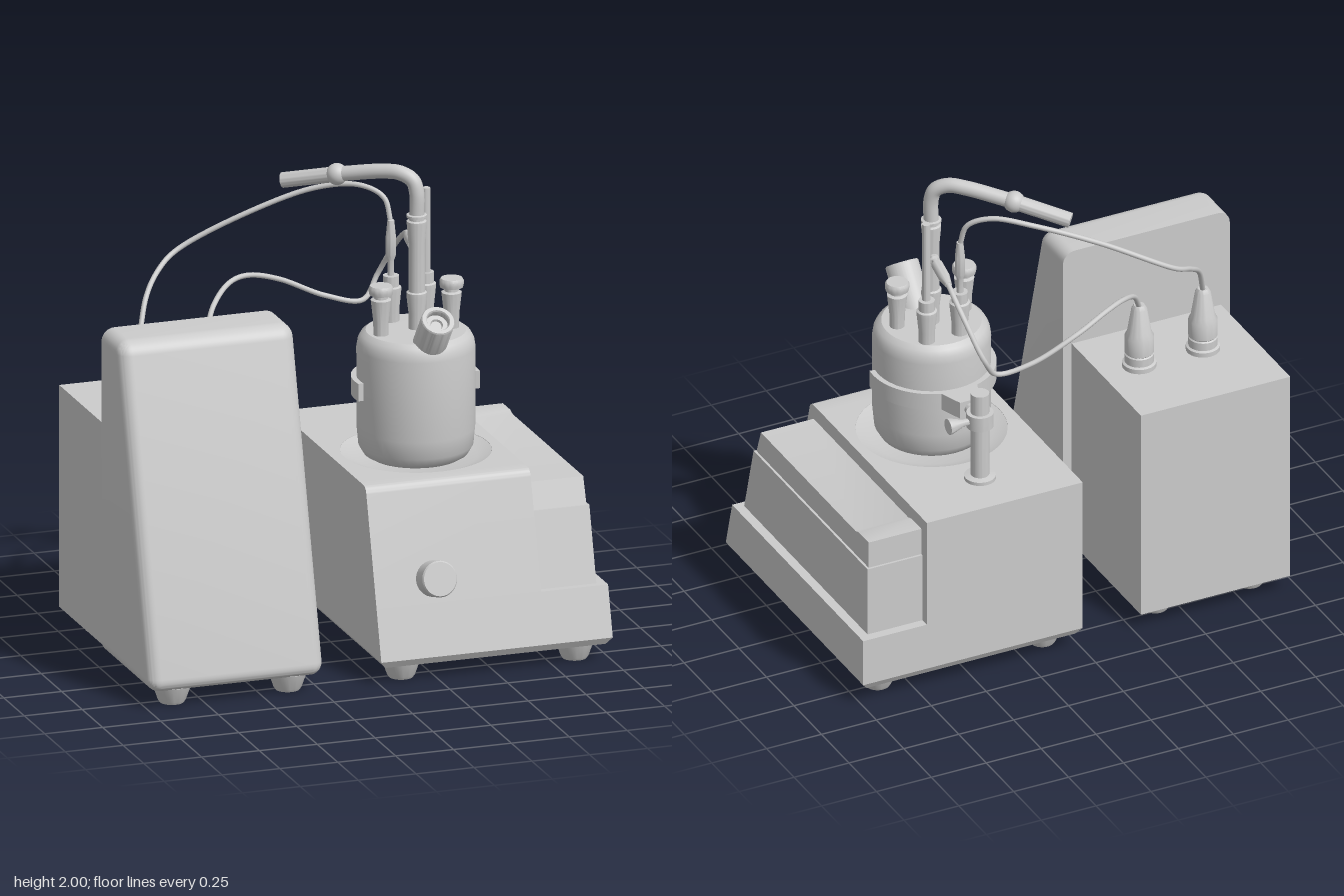
import * as THREE from 'three';
import { mergeVertices, toCreasedNormals } from 'three/addons/utils/BufferGeometryUtils.js';
import { RoundedBoxGeometry } from 'three/addons/geometries/RoundedBoxGeometry.js';

const V = (x, y, z) => new THREE.Vector3(x, y, z);
const mat = new THREE.MeshStandardMaterial({ color: 0xcccccc, side: THREE.DoubleSide });
const SLOPE = 0.275;
const frontZ = y => 0.62 - SLOPE * (y - 0.1); // shared slanted front plane
const VX = 0.358, VZ = 0.03;                  // vessel axis

export function createModel() {
  const root = new THREE.Group();
  const add = (name, geo, parent = root) => {
    const m = new THREE.Mesh(geo, mat);
    m.name = name;
    parent.add(m);
    return m;
  };
  const group = name => {
    const g = new THREE.Group();
    g.name = name;
    root.add(g);
    return g;
  };
  const box = (x0, x1, y0, y1, z0, z1) =>
    new THREE.BoxGeometry(x1 - x0, y1 - y0, z1 - z0).translate((x0 + x1) / 2, (y0 + y1) / 2, (z0 + z1) / 2);
  const lathe = (pts, seg = 40) =>
    toCreasedNormals(new THREE.LatheGeometry(pts.map(p => new THREE.Vector2(...p)), seg), 0.6);
  // turned part whose own y axis is laid from a towards b
  const turned = (name, pts, a, b, parent, seg) => {
    const m = add(name, lathe(pts, seg), parent);
    m.position.copy(a);
    m.quaternion.setFromUnitVectors(V(0, 1, 0), b.clone().sub(a).normalize());
    return m;
  };
  const rod = (name, a, b, r, parent) => {
    const l = a.distanceTo(b);
    return turned(name, [[0, 0], [r, 0], [r, l], [0, l]], a, b, parent, 28);
  };
  const upright = (name, x, z, pts, parent) => {
    const m = add(name, lathe(pts), parent);
    m.position.set(x, 0, z);
    return m;
  };
  const tube = (name, pts, r, parent, n = 120, sides = 10) =>
    add(name, new THREE.TubeGeometry(new THREE.CatmullRomCurve3(pts.map(p => V(...p))), n, r, sides), parent);
  // side outline given in (z, y), extruded from x0 to x1
  const sideExtrude = (shape, x0, x1) => toCreasedNormals(
    new THREE.ExtrudeGeometry(shape, { depth: x1 - x0, bevelEnabled: false, curveSegments: 8 })
      .rotateY(-Math.PI / 2).translate(x1, 0, 0), 0.4);
  // plan outline given in (x, -z), extruded upwards
  const planExtrude = (shape, y0, y1) => toCreasedNormals(
    new THREE.ExtrudeGeometry(shape, { depth: y1 - y0, bevelEnabled: false, curveSegments: 40 })
      .rotateX(-Math.PI / 2).translate(0, y0, 0), 0.4);
  const poly = pts => new THREE.Shape(pts.map(p => new THREE.Vector2(...p)));
  const foot = (x, z, parent) =>
    upright('foot', x, z, [[0, 0], [0.05, 0], [0.058, 0.012], [0.08, 0.075], [0, 0.075]], parent);

  // ---- control unit: slanted rounded front panel and rear case
  const control = group('controlUnit');
  const back = 0.03, r = 0.055;
  let panel = new RoundedBoxGeometry(0.76, 1.39, 0.59 + 2 * r, 5, r);
  panel.translate(-0.62, 0.765, back + 0.295 - r);
  const p = panel.attributes.position;
  for (let i = 0; i < p.count; i++) {
    const z = p.getZ(i), y = p.getY(i);
    p.setZ(i, z < 0.3 ? back : z - SLOPE * (y - 0.1)); // flat back, leaning front
  }
  panel.deleteAttribute('normal');
  panel.deleteAttribute('uv');
  panel = toCreasedNormals(mergeVertices(panel, 1e-4), 0.6);
  add('frontPanel', panel, control);
  add('rearCase', box(-0.96, -0.28, 0.07, 1.02, -0.6, 0.04), control);
  for (const [x, z] of [[-0.87, 0.52], [-0.37, 0.52], [-0.84, -0.47], [-0.41, -0.47]]) foot(x, z, control);
  for (const x of [-0.74, -0.45]) {
    upright('cableConnector', x, -0.245, [[0, 1.02], [0.07, 1.02], [0.07, 1.04], [0.06, 1.045], [0.06, 1.08],
      [0.055, 1.085], [0.06, 1.09], [0.06, 1.165], [0.05, 1.185], [0.032, 1.295], [0.022, 1.31], [0, 1.31]], control);
  }

  // ---- heater base: sloped body, side ledge and stacked side blocks
  const base = group('heaterBase');
  const skirt = box(0, 1, 0.07, 0.1, -0.63, 0.62);
  const sp = skirt.attributes.position;
  for (let i = 0; i < sp.count; i++) if (sp.getY(i) < 0.08) {
    sp.setX(i, 0.5 + (sp.getX(i) - 0.5) * 0.95);
    sp.setZ(i, sp.getZ(i) * 0.97);
  }
  skirt.computeVertexNormals();
  add('skirt', skirt, base);
  const sloped = (y0, y1, zb, inset) =>
    poly([[zb, y0], [frontZ(y0) - inset, y0], [frontZ(y1) - inset, y1], [zb, y1]]);
  add('lowerBody', sideExtrude(sloped(0.1, 0.31, -0.63, 0), 0, 1), base);
  const body = new THREE.Shape();
  body.moveTo(-0.63, 0.31);
  body.lineTo(frontZ(0.31), 0.31);
  body.lineTo(frontZ(0.765), 0.765);
  body.quadraticCurveTo(frontZ(0.795), 0.795, 0.4, 0.795);
  body.lineTo(0.345, 0.795);
  body.lineTo(0.345, 0.765);
  body.lineTo(-0.63, 0.765);
  add('upperBody', sideExtrude(body, 0, 0.71), base);
  add('sideBlock', sideExtrude(sloped(0.31, 0.62, -0.59, 0.03), 0.7, 0.96), base);
  add('sideBlockTop', sideExtrude(poly([[-0.58, 0.62], [0.44, 0.62], [0.4, 0.73], [-0.46, 0.73],
    [-0.49, 0.74], [-0.58, 0.74]]), 0.7, 0.95), base);

  // top plate with a shallow round well for the vessel
  const plate = poly([[0, -0.345], [0.71, -0.345], [0.71, 0.63], [0, 0.63]]);
  const hole = new THREE.Path();
  hole.absarc(VX, -VZ, 0.31, 0, Math.PI * 2, true);
  plate.holes.push(hole);
  add('topPlate', planExtrude(plate, 0.765, 0.795), base);
  upright('heatingWell', VX, VZ, [[0, 0.772], [0.25, 0.772], [0.31, 0.794]], base);
  for (const x of [0.12, 0.87]) for (const z of [0.52, -0.5]) foot(x, z, base);
  const n = V(0, SLOPE, 1).normalize(), k = V(0.255, 0.405, 0.525);
  turned('knob', [[0, 0], [0.075, 0], [0.075, 0.09], [0.07, 0.097], [0, 0.097]], k, k.clone().add(n), base);

  // ---- vessel with its stoppered ports
  const vessel = group('vessel');
  upright('vesselBody', VX, VZ, [[0, 0.775], [0.19, 0.775], [0.215, 0.79], [0.235, 0.825], [0.242, 0.9], [0.243, 1.24],
    [0.238, 1.27], [0.225, 1.295], [0.205, 1.31], [0, 1.312]], vessel);
  for (const x of [0.2, 0.505]) {
    upright('stopperedPort', x, 0.05, [[0.03, 1.29], [0.032, 1.37], [0.042, 1.46], [0.028, 1.465], [0.028, 1.478],
      [0.047, 1.482], [0.05, 1.495], [0.05, 1.51], [0.044, 1.52], [0, 1.52]], vessel);
  }
  for (const x of [0.3, 0.45]) {
    upright('rearPort', x, -0.11, [[0.034, 1.28], [0.034, 1.36], [0.042, 1.44], [0.042, 1.455], [0.033, 1.46],
      [0.033, 1.505], [0, 1.505]], vessel);
  }
  turned('viewingTube', [[0.07, 0], [0.07, 0.25], [0.066, 0.256], [0.05, 0.256], [0.046, 0.25], [0.046, 0.225],
    [0.026, 0.225], [0.022, 0.215], [0, 0.215]], V(VX, 1.23, 0.145), V(VX, 2.02, 0.765), vessel);
  rod('thermometer', V(0.45, 1.45, -0.105), V(0.45, 1.865, -0.105), 0.017, vessel);

  // ---- central riser, elbow and outlet
  const outlet = group('outletTube');
  upright('riser', 0.365, 0.02, [[0.034, 1.29], [0.034, 1.38], [0.042, 1.45], [0.042, 1.465], [0.034, 1.47],
    [0.034, 1.68], [0.041, 1.76], [0.041, 1.77], [0.032, 1.775], [0.032, 1.785], [0.042, 1.787],
    [0.042, 1.797], [0.032, 1.8]], outlet);
  tube('elbow', [[0.365, 1.78, 0.02], [0.365, 1.89, 0.02], [0.352, 1.94, 0.008], [0.31, 1.967, -0.025],
    [0.25, 1.965, -0.078], [0.1, 1.93, -0.205]], 0.031, outlet, 60, 24);
  add('joint', new THREE.SphereGeometry(0.045, 24, 16), outlet).position.set(0.1, 1.93, -0.205);
  rod('outlet', V(0.1, 1.93, -0.205), V(-0.08, 1.876, -0.36), 0.032, outlet);

  // ---- probes and cables
  const probes = group('probes');
  turned('uprightProbe', [[0.014, 0], [0.014, 0.07], [0.021, 0.09], [0.021, 0.17], [0.014, 0.24], [0, 0.245]],
    V(0.3, 1.5, -0.112), V(0.3, 2, -0.112), probes, 24);
  turned('sideProbe', [[0, 0], [0.022, 0.004], [0.022, 0.02], [0.013, 0.025], [0.013, 0.05], [0.024, 0.055],
    [0.024, 0.155], [0.014, 0.22], [0, 0.225]], V(0.375, 1.635, -0.02), V(0.416, 1.635, -0.25), probes, 24);
  tube('cable', [[0.3, 1.73, -0.112], [0.28, 1.83, -0.14], [0.2, 1.873, -0.2], [0.05, 1.85, -0.3], [-0.2, 1.75, -0.39],
    [-0.5, 1.59, -0.465], [-0.6, 1.53, -0.41], [-0.68, 1.45, -0.33], [-0.74, 1.3, -0.245]], 0.011, probes);
  tube('cable', [[0.414, 1.635, -0.235], [0.42, 1.615, -0.29], [0.41, 1.53, -0.39], [0.37, 1.39, -0.473], [0.3, 1.295, -0.45],
    [0.15, 1.32, -0.475], [-0.05, 1.41, -0.485], [-0.2, 1.455, -0.445], [-0.3, 1.45, -0.39],
    [-0.4, 1.39, -0.3], [-0.45, 1.3, -0.245]], 0.011, probes);

  // ---- clamp stand holding the vessel
  const clamp = group('clampStand');
  upright('post', VX, -0.41, [[0, 0.79], [0.065, 0.79], [0.065, 0.81], [0.038, 0.815], [0.038, 1.2], [0, 1.2]], clamp);
  const band = new THREE.Shape();
  band.absarc(VX, -VZ, 0.265, -0.15, Math.PI + 0.15, false);
  band.absarc(VX, -VZ, 0.24, Math.PI + 0.15, -0.15, true);
  add('band', planExtrude(band, 1.04, 1.115), clamp);
  add('arm', planExtrude(poly([[VX - 0.09, 0.2], [VX + 0.09, 0.2], [VX + 0.045, 0.32], [VX - 0.045, 0.32]]), 1.04, 1.115), clamp);
  rod('armRod', V(VX, 1.077, -0.3), V(VX, 1.077, -0.4), 0.025, clamp);
  upright('collar', VX, -0.41, [[0.036, 1.045], [0.056, 1.045], [0.056, 1.11], [0.036, 1.11]], clamp);
  turned('clampScrew', [[0, 0], [0.015, 0], [0.015, 0.08], [0.034, 0.135], [0.034, 0.145], [0, 0.145]],
    V(VX, 1.077, -0.41), V(1, 1.077, -0.41), clamp, 24);

  return root;
}
